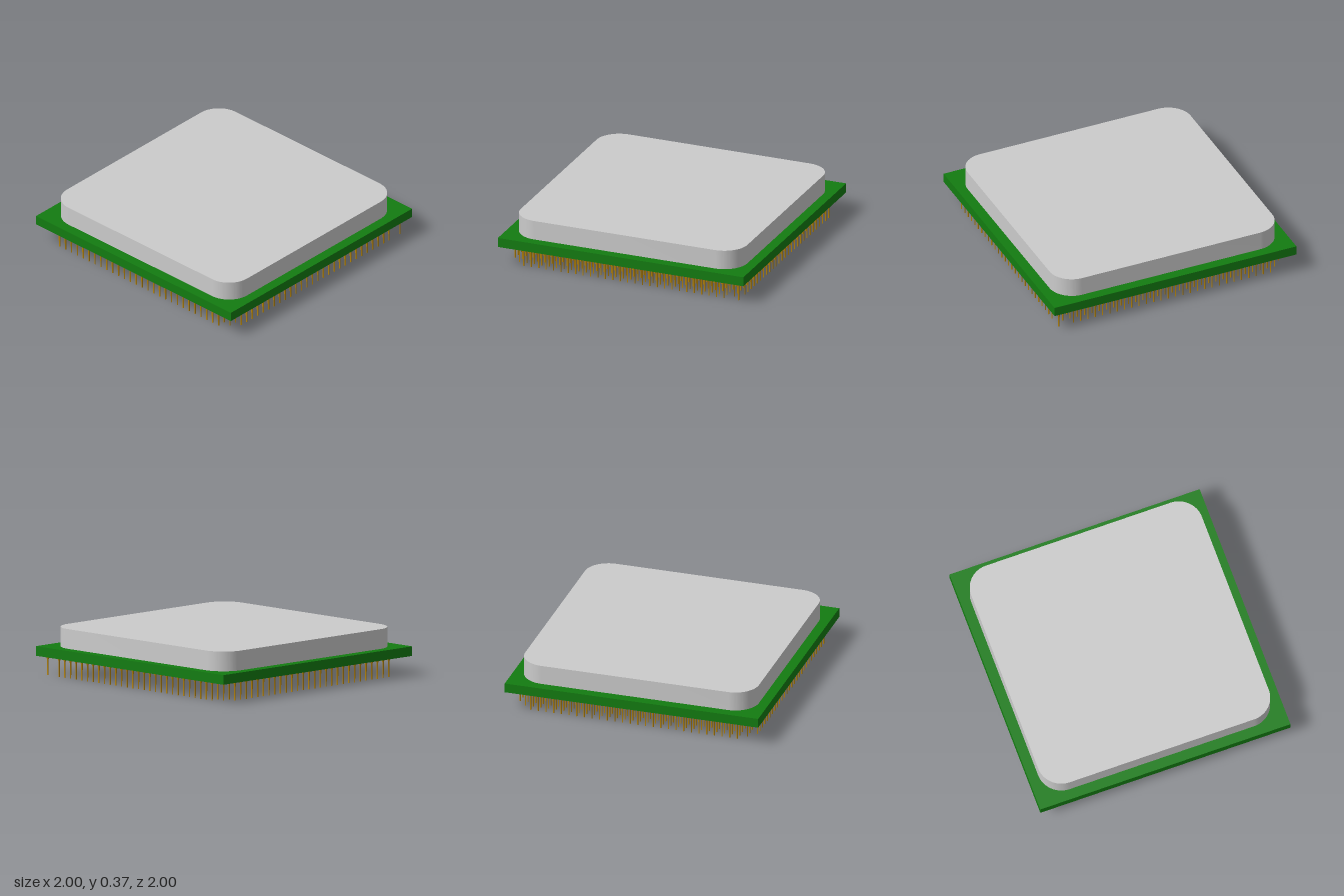
import * as THREE from 'three';
import { mergeGeometries, toCreasedNormals } from 'three/addons/utils/BufferGeometryUtils.js';

const BOARD_BOTTOM = 0.147, BOARD_TOP = 0.22, LID_TOP = 0.37;
const PINS = 32, PIN_SPAN = 0.936;

function part(name, geometry, color) {
  const mesh = new THREE.Mesh(geometry, new THREE.MeshStandardMaterial({ color }));
  mesh.name = name;
  return mesh;
}

// Square outline with rounded corners, centred on the origin
function roundedSquare(h, r) {
  const s = new THREE.Shape();
  s.absarc(h - r, h - r, r, 0, Math.PI / 2);
  s.absarc(r - h, h - r, r, Math.PI / 2, Math.PI);
  s.absarc(r - h, r - h, r, Math.PI, Math.PI * 1.5);
  s.absarc(h - r, r - h, r, Math.PI * 1.5, Math.PI * 2);
  s.closePath();
  return s;
}

// Each corner loses three pins; one corner keeps its outermost pin
function hasPin(i, j) {
  const last = PINS - 1;
  if (i === last && j === 0) return true;
  return Math.min(i, last - i) + Math.min(j, last - j) > 1;
}

export function createModel() {
  const model = new THREE.Group();
  model.name = 'processor';

  // Circuit board
  const board = new THREE.BoxGeometry(2, BOARD_TOP - BOARD_BOTTOM, 2);
  board.translate(0, (BOARD_TOP + BOARD_BOTTOM) / 2, 0);
  model.add(part('board', board, 0x137c11));

  // Metal lid with rounded corners
  const lid = new THREE.ExtrudeGeometry(roundedSquare(0.922, 0.185), {
    depth: LID_TOP - BOARD_TOP, bevelEnabled: false, curveSegments: 16,
  });
  lid.rotateX(-Math.PI / 2);
  lid.translate(0, BOARD_TOP, 0);
  model.add(part('lid', toCreasedNormals(lid, 0.6), 0xcccccc));

  // One pin: thin shaft flaring into a solder foot under the board
  const profile = [[0, 0], [0.005, 0], [0.005, 0.118], [0.013, 0.138], [0.013, BOARD_BOTTOM]]
    .map(([r, y]) => new THREE.Vector2(r, y));
  const pin = toCreasedNormals(new THREE.LatheGeometry(profile, 8), 1.1);

  // Grid of pins
  const pins = [];
  const place = (k) => -PIN_SPAN + (2 * PIN_SPAN * k) / (PINS - 1);
  for (let i = 0; i < PINS; i++) {
    for (let j = 0; j < PINS; j++) {
      if (hasPin(i, j)) pins.push(pin.clone().translate(place(i), 0, place(j)));
    }
  }
  model.add(part('pins', mergeGeometries(pins), 0xb8860b));

  return model;
}
